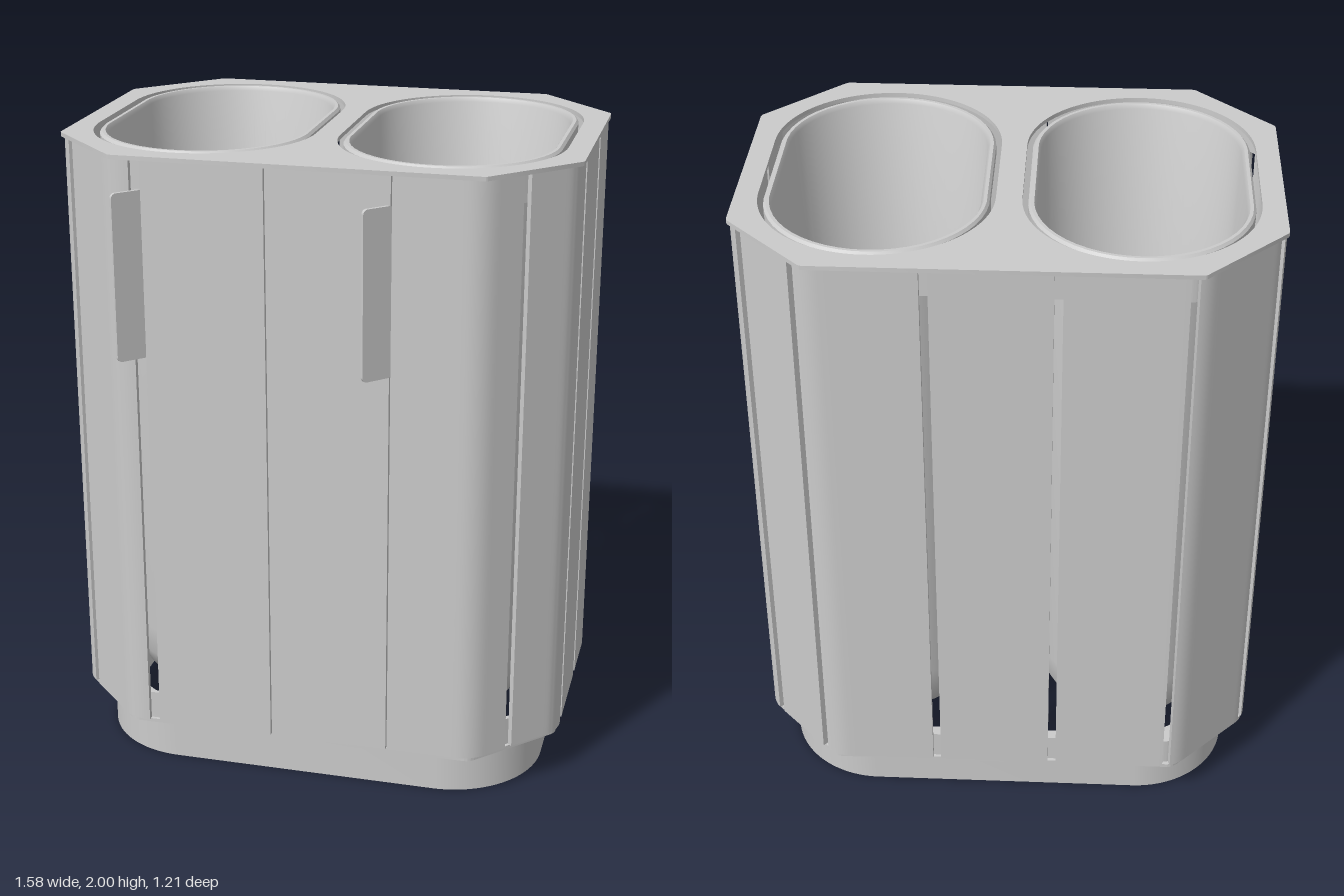
import * as THREE from 'three';
import { toCreasedNormals } from 'three/addons/utils/BufferGeometryUtils.js';

const ZC = -0.03; // centre of the body in z
const material = new THREE.MeshStandardMaterial({ color: 0xcccccc, side: THREE.DoubleSide });

function addMesh(parent, name, geometry) {
  const mesh = new THREE.Mesh(geometry, material);
  mesh.name = name;
  parent.add(mesh);
  return mesh;
}

// Plan shapes use (x, -z); a slab raises one from y0 to y1.
function slab(shape, y0, y1) {
  const g = new THREE.ExtrudeGeometry(shape, { depth: y1 - y0, bevelEnabled: false, curveSegments: 20 });
  g.rotateX(-Math.PI / 2).translate(0, y0, 0);
  return toCreasedNormals(g, 0.6);
}

// Chamfered rectangle, inset by d, with corners eased by r
function octagon(target, d, r) {
  const k = d * Math.tan(Math.PI / 8);
  const a = 0.55 - k, b = 0.79 - d, c = 0.33 - k, e = 0.575 - d;
  const pts = [[-a, e], [a, e], [b, c], [b, -c], [a, -e], [-a, -e], [-b, -c], [-b, c]]
    .map(([x, z]) => new THREE.Vector2(x, -(z + ZC)));
  const toward = (p, q) => p.clone().add(q.clone().sub(p).setLength(r));
  const start = toward(pts[0], pts[1]);
  target.moveTo(start.x, start.y);
  for (let i = 1; i <= 8; i++) {
    const p = pts[i % 8];
    const before = toward(p, pts[i - 1]), after = toward(p, pts[(i + 1) % 8]);
    target.lineTo(before.x, before.y);
    target.quadraticCurveTo(p.x, p.y, after.x, after.y);
  }
  return target;
}

// Rounded rectangle with half sizes hx, hz, centred on x = cx
function roundRect(target, cx, hx, hz, r) {
  const y = -ZC;
  target.moveTo(cx + hx, y - hz + r);
  target.lineTo(cx + hx, y + hz - r);
  target.absarc(cx + hx - r, y + hz - r, r, 0, Math.PI / 2);
  target.lineTo(cx - hx + r, y + hz);
  target.absarc(cx - hx + r, y + hz - r, r, Math.PI / 2, Math.PI);
  target.lineTo(cx - hx, y - hz + r);
  target.absarc(cx - hx + r, y - hz + r, r, Math.PI, Math.PI * 1.5);
  target.lineTo(cx + hx - r, y - hz);
  target.absarc(cx + hx - r, y - hz + r, r, Math.PI * 1.5, Math.PI * 2);
  return target;
}

function withHoles(shape, ...holes) {
  shape.holes.push(...holes);
  return shape;
}

// Cladding: strips of the outline between joints [x, z, gap width]
function addPanels(parent) {
  const outline = octagon(new THREE.Path(), 0.003, 0.05);
  const length = outline.getLength();
  const joints = [
    [-0.472, 0.545, 0.034], [-0.085, 0.545, 0.004], [0.285, 0.545, 0.004], [0.655, 0.44, 0.025],
    [0.79, 0.225, 0.03], [0.79, -0.095, 0.03], [0.755, -0.4, 0.025], [0.585, -0.57, 0.025],
    [0.215, -0.605, 0.025], [-0.155, -0.605, 0.025], [-0.525, -0.605, 0.025],
    [-0.78, -0.37, 0.025], [-0.79, 0, 0.025], [-0.745, 0.35, 0.025],
  ].map(([x, z, gap]) => {
    let t = 0, best = Infinity;
    for (let i = 0; i < 1500; i++) {
      const p = outline.getPoint(i / 1500);
      const dist = Math.hypot(p.x - x, p.y + z);
      if (dist < best) { best = dist; t = i / 1500; }
    }
    return { t, half: gap / 2 / length };
  });
  const panels = new THREE.Group();
  panels.name = 'claddingPanels';
  parent.add(panels);
  joints.forEach((j, i) => {
    const next = joints[(i + 1) % joints.length];
    const t0 = j.t + j.half;
    const t1 = next.t - next.half + (next.t < j.t ? 1 : 0);
    const outer = [], inner = [];
    for (let n = 0; n <= 28; n++) {
      const t = (t0 + (t1 - t0) * n / 28) % 1;
      const p = outline.getPoint(t), d = outline.getTangent(t);
      outer.push(p);
      inner.unshift(new THREE.Vector2(p.x - d.y * 0.018, p.y + d.x * 0.018));
    }
    addMesh(panels, 'panel', slab(new THREE.Shape([...outer, ...inner]), 0.16, 1.988));
  });
}

// Bin liner: a turned profile pulled apart along z into a stadium
function linerGeometry() {
  const profile = [
    [0.001, 0.2], [0.18, 0.2], [0.24, 0.23], [0.275, 0.3], [0.29, 0.4], [0.31, 1.95], [0.325, 1.96],
    [0.325, 1.99], [0.318, 1.998], [0.308, 1.998], [0.3, 1.985],
    [0.278, 0.41], [0.262, 0.31], [0.23, 0.245], [0.18, 0.215], [0.001, 0.215],
  ].map(([r, y]) => new THREE.Vector2(r, y));
  const g = new THREE.LatheGeometry(profile, 50);
  const pos = g.attributes.position;
  for (let i = 0; i < pos.count; i++) pos.setZ(i, pos.getZ(i) + Math.sign(pos.getZ(i)) * 0.165);
  return toCreasedNormals(g, 0.7);
}

export function createModel() {
  const model = new THREE.Group();
  model.name = 'twinLitterBin';

  // Open plinth ring
  addMesh(model, 'plinth', slab(withHoles(
    roundRect(new THREE.Shape(), 0, 0.72, 0.505, 0.3),
    roundRect(new THREE.Path(), 0, 0.708, 0.493, 0.288)), 0, 0.155));

  // Bottom frame plate, open in the middle
  addMesh(model, 'bottomPlate', slab(withHoles(
    octagon(new THREE.Shape(), 0.012, 0.02),
    roundRect(new THREE.Path(), 0, 0.64, 0.425, 0.24)), 0.148, 0.16));

  // Two fixing bars across the plinth, each with bolt holes
  for (const x of [-0.45, 0.45]) {
    const bar = roundRect(new THREE.Shape(), x, 0.045, 0.48, 0.004);
    for (const z of [-0.22, 0.22])
      bar.holes.push(new THREE.Path().absarc(x, -(ZC + z), 0.018, 0, Math.PI * 2));
    addMesh(model, 'fixingBar', slab(bar, 0.004, 0.016));
  }

  // Frame bands closing the panel joints at top and bottom
  for (const [y0, y1] of [[0.16, 0.25], [1.9, 1.988]])
    addMesh(model, 'frameBand', slab(withHoles(
      octagon(new THREE.Shape(), 0.022, 0.04), octagon(new THREE.Path(), 0.036, 0.04)), y0, y1));

  addPanels(model);

  // Top plate with two stadium openings
  addMesh(model, 'topPlate', slab(withHoles(
    octagon(new THREE.Shape(), 0, 0.01),
    roundRect(new THREE.Path(), -0.38, 0.342, 0.507, 0.342),
    roundRect(new THREE.Path(), 0.38, 0.342, 0.507, 0.342)), 1.986, 1.999));

  // Bin liners
  const liner = linerGeometry();
  for (const x of [-0.38, 0.38]) addMesh(model, 'binLiner', liner).position.set(x, 0, ZC - 0.005);

  // Door pulls: thin angled plates with rounded corners
  const pull = roundRect(new THREE.Shape(), 0, 0.051, 0.255, 0.015);
  const pullGeometry = new THREE.ExtrudeGeometry(pull, { depth: 0.01, bevelEnabled: false });
  pullGeometry.translate(0, ZC, -0.005);
  for (const x of [-0.455, 0.285]) {
    const handle = addMesh(model, 'doorPull', pullGeometry);
    handle.rotation.y = Math.PI / 4;
    handle.position.set(x - 0.034, 1.645, 0.566);
  }

  return model;
}
